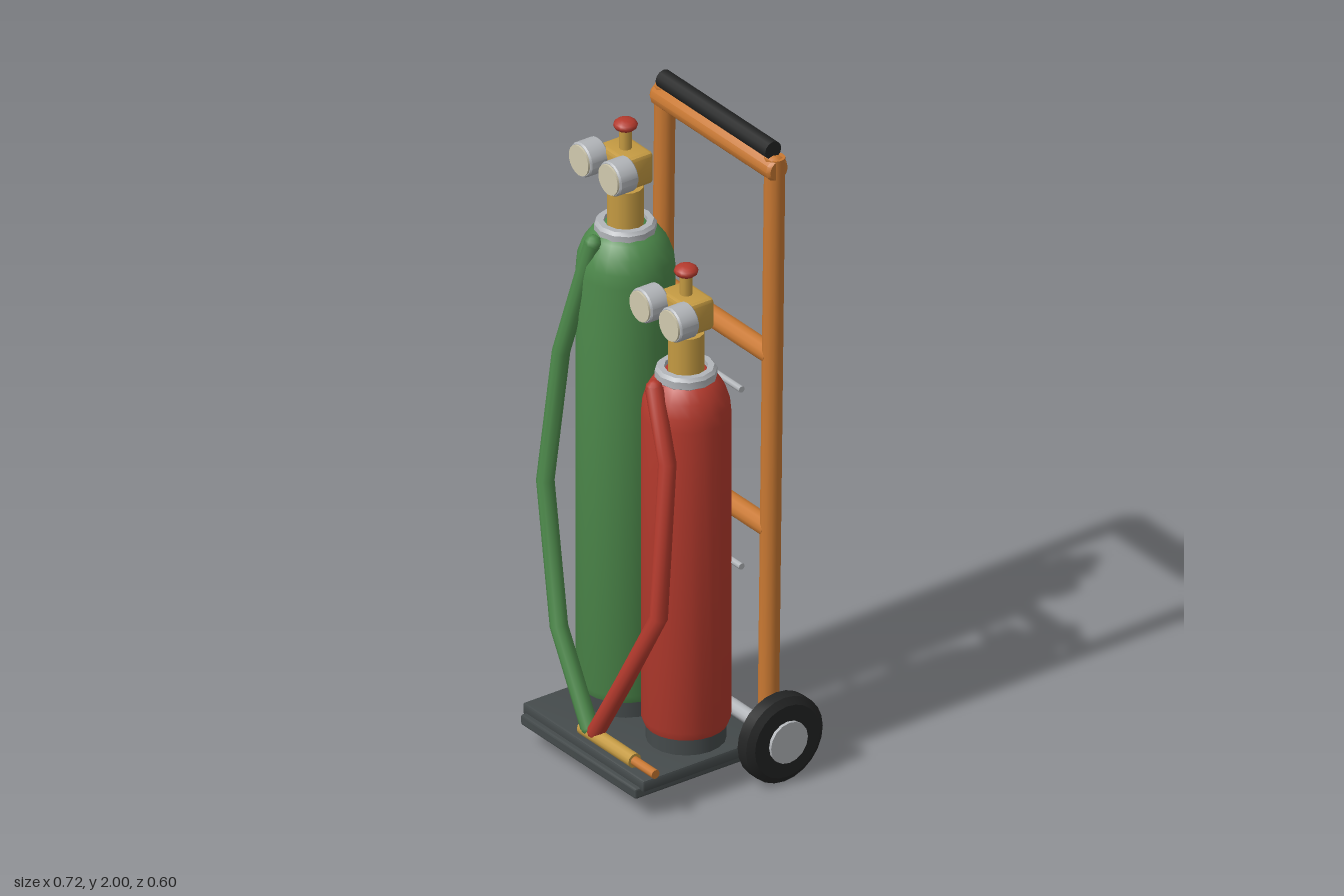
import * as THREE from 'three';
import { toCreasedNormals } from 'three/addons/utils/BufferGeometryUtils.js';
import { RoundedBoxGeometry } from 'three/addons/geometries/RoundedBoxGeometry.js';

function material(name, color) {
  const m = new THREE.MeshStandardMaterial({ color });
  m.name = name;
  return m;
}

// Hose path made of straight runs between its points
class Polyline extends THREE.Curve {
  constructor(points) {
    super();
    this.points = points.map(p => new THREE.Vector3(...p));
  }
  getPoint(t, target = new THREE.Vector3()) {
    const n = this.points.length - 1;
    const i = Math.min(Math.floor(t * n), n - 1);
    return target.lerpVectors(this.points[i], this.points[i + 1], t * n - i);
  }
  getPointAt(t, target) { return this.getPoint(t, target); }
  getTangentAt(t, target) { return this.getTangent(t, target); }
}

export function createModel() {
  const orange = material('orange paint', 0xc87832);
  const black = material('black rubber', 0x232424);
  const steel = material('steel', 0xb2b5b9);
  const deck = material('dark grey', 0x444a4b);
  const green = material('green paint', 0x4d894b);
  const red = material('red paint', 0xb43a2d);
  const brass = material('brass', 0xc49a42);
  const dial = material('cream dial', 0xd0c9ae);

  const model = new THREE.Group();
  model.name = 'weldingCart';

  function add(parent, name, geometry, mat, x = 0, y = 0, z = 0) {
    const mesh = new THREE.Mesh(geometry, mat);
    mesh.name = name;
    mesh.position.set(x, y, z);
    parent.add(mesh);
    return mesh;
  }
  const V = (x, y, z) => new THREE.Vector3(x, y, z);

  // Straight bar between two points
  function bar(parent, name, a, b, r, mat, sides = 12) {
    const dir = b.clone().sub(a);
    const mesh = add(parent, name, new THREE.CylinderGeometry(r, r, dir.length(), sides), mat);
    mesh.position.copy(a).add(b).multiplyScalar(0.5);
    mesh.quaternion.setFromUnitVectors(V(0, 1, 0), dir.normalize());
    return mesh;
  }
  // Turned solid with crisp corners
  function turned(profile, sides) {
    const pts = profile.map(p => new THREE.Vector2(...p));
    return toCreasedNormals(new THREE.LatheGeometry(pts, sides), 0.56);
  }
  const chamferBox = (w, h, d, r) => toCreasedNormals(new RoundedBoxGeometry(w, h, d, 1, r), 0.4);

  // Deck: upper plate over a lower plate with a projecting front lip
  add(model, 'deckPlate', chamferBox(0.566, 0.036, 0.43, 0.006), deck, 0, 0.107, 0.065);
  add(model, 'deckLip', chamferBox(0.54, 0.032, 0.447, 0.006), deck, 0, 0.083, 0.0735);

  // Leaning frame
  const railZ = y => -0.171 - 0.0125 * y;
  const frame = new THREE.Group();
  frame.name = 'frame';
  model.add(frame);
  for (const s of [-1, 1]) {
    bar(frame, s > 0 ? 'leftRail' : 'rightRail',
      V(s * 0.257, 0.11, railZ(0.11)), V(s * 0.257, 1.95, railZ(1.95)), 0.03, orange);
  }
  for (const y of [0.77, 1.32]) {
    bar(frame, 'crossbar', V(-0.257, y, railZ(y)), V(0.257, y, railZ(y)), 0.031, orange);
  }
  const topBar = add(frame, 'topBar', turned([[0, -0.283], [0.03, -0.283], [0.037, -0.272],
    [0.037, 0.272], [0.03, 0.283], [0, 0.283]], 12), orange, 0, 1.919, -0.191);
  topBar.rotation.z = Math.PI / 2;
  bar(frame, 'handleGrip', V(-0.257, 1.972, -0.19), V(0.257, 1.972, -0.19), 0.028, black);

  // Retaining rods behind the bottles
  for (const y of [0.68, 1.245]) {
    bar(model, 'retainingRod', V(-0.256, y, -0.082), V(0.256, y, -0.082), 0.01, steel, 8);
  }

  // Axle and wheels
  const axleY = 0.136, axleZ = -0.169;
  bar(model, 'axle', V(-0.3, axleY, axleZ), V(0.3, axleY, axleZ), 0.022, steel);
  const tyre = turned([[0, -0.034], [0.112, -0.034], [0.133, -0.02],
    [0.133, 0.02], [0.112, 0.034], [0, 0.034]], 24);
  for (const s of [-1, 1]) {
    const wheel = new THREE.Group();
    wheel.name = s > 0 ? 'leftWheel' : 'rightWheel';
    wheel.position.set(s * 0.318, axleY, axleZ);
    wheel.rotation.z = Math.PI / 2;
    model.add(wheel);
    add(wheel, 'tyre', tyre, black);
    add(wheel, 'hub', new THREE.CylinderGeometry(0.064, 0.064, 0.088, 16), steel);
  }

  // Gas bottle with valve and gauges; top is the height of the collar's middle
  function bottle(name, x, r, top, mat) {
    const g = new THREE.Group();
    g.name = name;
    g.position.set(x, 0, 0.027);
    model.add(g);
    add(g, 'foot', new THREE.CylinderGeometry(r * 0.89, r * 0.89, 0.07, 20), deck, 0, 0.157, 0);
    const body = [[0, 0.175], [r * 0.93, 0.175], [r, 0.2], [r, top - 0.13], [r * 0.97, top - 0.09],
      [r * 0.87, top - 0.05], [r * 0.7, top - 0.016], [r * 0.45, top + 0.008], [0, top + 0.012]];
    add(g, 'body', turned(body, 24), mat);
    const collar = [[0.06, -0.018], [0.082, -0.02], [0.088, -0.012], [0.088, 0.01],
      [0.08, 0.02], [0.062, 0.02], [0.06, -0.018]];
    add(g, 'collar', turned(collar, 12), steel, 0, top, 0);
    add(g, 'neck', new THREE.CylinderGeometry(0.052, 0.052, 0.13, 14), brass, 0, top + 0.063, 0);
    add(g, 'valveBlock', chamferBox(0.136, 0.1, 0.1, 0.012), brass, 0, top + 0.198, 0);
    add(g, 'stem', new THREE.CylinderGeometry(0.018, 0.018, 0.07, 10), brass, 0, top + 0.275, 0);
    const knob = add(g, 'knob', new THREE.SphereGeometry(0.035, 12, 8), red, 0, top + 0.322, 0);
    knob.scale.y = 0.55;
    for (const s of [-1, 1]) {
      const gauge = new THREE.Group();
      gauge.name = s > 0 ? 'leftGauge' : 'rightGauge';
      gauge.position.set(s * 0.069, top + 0.212, 0.041);
      gauge.rotation.x = Math.PI / 2;
      g.add(gauge);
      add(gauge, 'gaugeCase', turned([[0, 0], [0.047, 0], [0.052, 0.005], [0.052, 0.06],
        [0.048, 0.065], [0, 0.065]], 18), steel, 0, 0, 0);
      add(gauge, 'gaugeDial', new THREE.CylinderGeometry(0.046, 0.046, 0.006, 18), dial, 0, 0.068, 0);
    }
  }
  bottle('greenBottle', -0.142, 0.14, 1.627, green);
  bottle('redBottle', 0.142, 0.127, 1.288, red);

  // Hoses running down to the torch
  function hose(name, points, mat) {
    const path = new Polyline(points);
    add(model, name, new THREE.TubeGeometry(path, points.length - 1, 0.026, 10), mat);
    for (const p of [points[0], points[points.length - 1]]) {
      add(model, name + 'End', new THREE.SphereGeometry(0.0255, 10, 6), mat, ...p);
    }
  }
  hose('greenHose', [[-0.145, 1.605, 0.138], [-0.237, 1.235, 0.18], [-0.268, 0.82, 0.212],
    [-0.15, 0.42, 0.252], [0.0, 0.165, 0.257]], green);
  hose('redHose', [[0.142, 1.27, 0.138], [0.25, 1.09, 0.172], [0.268, 0.62, 0.215],
    [0.15, 0.37, 0.25], [0.03, 0.165, 0.257]], red);

  // Torch lying on the front of the deck
  bar(model, 'torchHandle', V(-0.03, 0.153, 0.257), V(0.212, 0.153, 0.257), 0.022, brass);
  bar(model, 'torchTip', V(0.2, 0.153, 0.257), V(0.31, 0.153, 0.257), 0.014, orange, 10);

  return model;
}
